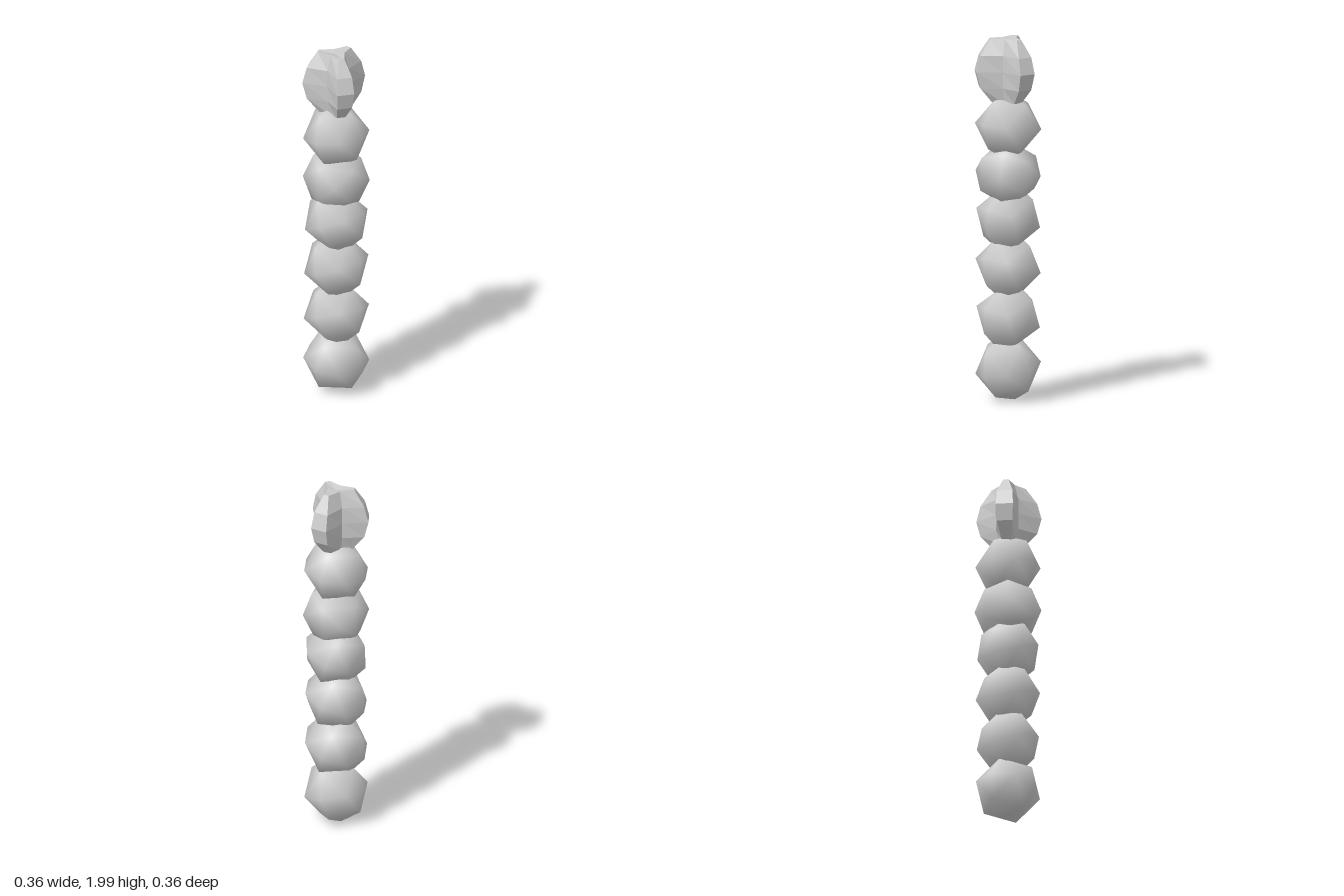
import * as THREE from 'three';

const grey = new THREE.MeshStandardMaterial({ color: 0xcccccc });
const greyFlat = new THREE.MeshStandardMaterial({ color: 0xcccccc, flatShading: true });
const deg = THREE.MathUtils.degToRad;

// Three-lobed head: cross-sections of 9 points, each lobe being valley, edge, edge
function headGeometry() {
  // y, outer radius, half width at the outer edge, valley radius
  const rows = [
    [1.65, 0.09, 0.025, 0.055],
    [1.73, 0.155, 0.042, 0.07],
    [1.82, 0.178, 0.048, 0.072],
    [1.91, 0.155, 0.042, 0.07],
    [2.0, 0.1, 0.015, 0.045],
  ];
  const pos = [], index = [], n = 9;
  for (const [y, r, w, valley] of rows) {
    for (let lobe = 0; lobe < 3; lobe++) {
      const a = deg(34.5 + lobe * 120);
      const c = Math.cos(a), s = Math.sin(a);
      const v = a - Math.PI / 3;
      pos.push(valley * Math.cos(v), y, valley * Math.sin(v));
      for (const side of [-w, w]) pos.push(r * c - side * s, y, r * s + side * c);
    }
  }
  const bottom = pos.length / 3, top = bottom + 1, last = (rows.length - 1) * n;
  pos.push(0, rows[0][0], 0, 0, 1.99, 0);
  for (let j = 0; j < n; j++) {
    const k = (j + 1) % n;
    for (let i = 0; i < last; i += n) {
      index.push(i + j, i + n + j, i + n + k, i + j, i + n + k, i + k);
    }
    index.push(bottom, j, k, top, last + k, last + j);
  }
  const indexed = new THREE.BufferGeometry();
  indexed.setAttribute('position', new THREE.Float32BufferAttribute(pos, 3));
  indexed.setIndex(index);
  const geo = indexed.toNonIndexed();
  geo.computeVertexNormals();
  return geo;
}

export function createModel() {
  const group = new THREE.Group();

  // Stack of faceted beads: centre height, then tilt about x, y and z in degrees
  const beadGeo = new THREE.OctahedronGeometry(0.182, 1);
  const beads = [
    [0.185, 4, 0, -12],
    [0.465, -6, 0, 20],
    [0.745, 2, 0, 19],
    [1.01, -4, 8, 22],
    [1.255, 0, 0, 0],
    [1.515, 0, 0, 7],
  ];
  beads.forEach(([y, rx, ry, rz], i) => {
    const bead = new THREE.Mesh(beadGeo, grey);
    bead.name = `bead${i + 1}`;
    bead.position.y = y;
    bead.rotation.set(deg(rx), deg(ry), deg(rz));
    group.add(bead);
  });

  // The fifth bead lies with a triangular face towards the side
  const xAxis = new THREE.Vector3(1, 0, 0);
  const corner = new THREE.Vector3(1, 1, 1).normalize();
  group.children[4].quaternion
    .setFromAxisAngle(xAxis, deg(-19))
    .multiply(new THREE.Quaternion().setFromUnitVectors(corner, xAxis));

  // Three-lobed head on top
  const head = new THREE.Mesh(headGeometry(), greyFlat);
  head.name = 'lobedHead';
  group.add(head);

  return group;
}
